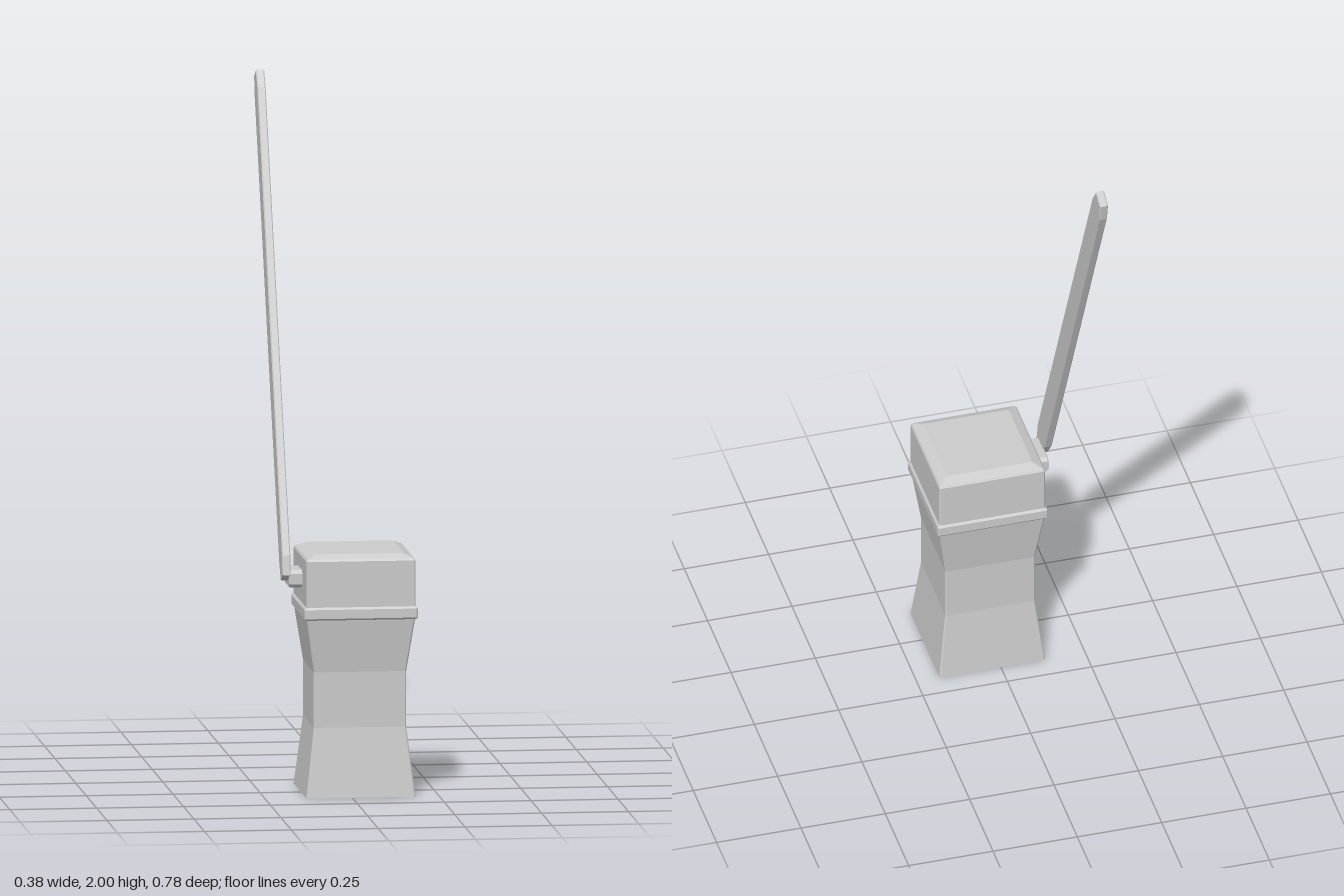
import * as THREE from 'three';

const material = new THREE.MeshStandardMaterial({ color: 0xcccccc, flatShading: true });

// Square column with slightly cut corners, lofted through [halfWidth, y] rows
function squareLoft(rows, cut = 0.004) {
  const rings = rows.map(([h, y]) => {
    const c = h - cut;
    return [[h, -c], [h, c], [c, h], [-c, h], [-h, c], [-h, -c], [-c, -h], [c, -h]]
      .map(([x, z]) => [x, y, z]);
  });
  const pos = [];
  for (let r = 0; r < rings.length - 1; r++) {
    const lo = rings[r], hi = rings[r + 1];
    for (let i = 0; i < 8; i++) {
      const j = (i + 1) % 8;
      pos.push(...lo[i], ...hi[i], ...hi[j], ...lo[i], ...hi[j], ...lo[j]);
    }
  }
  // end caps
  const bottom = rings[0], top = rings[rings.length - 1];
  for (let i = 1; i < 7; i++) {
    pos.push(...bottom[0], ...bottom[i], ...bottom[i + 1]);
    pos.push(...top[0], ...top[i + 1], ...top[i]);
  }
  const geo = new THREE.BufferGeometry();
  geo.setAttribute('position', new THREE.Float32BufferAttribute(pos, 3));
  geo.computeVertexNormals();
  return geo;
}

// Rectangle with cut corners, extruded with a fine bevel and centred on its origin
function chamferedBar(width, length, thickness, cutW, cutL, bevel) {
  const w = width / 2 - bevel, l = length / 2 - bevel;
  const outline = [
    [-w + cutW, -l], [w - cutW, -l], [w, -l + cutL], [w, l - cutL],
    [w - cutW, l], [-w + cutW, l], [-w, l - cutL], [-w, -l + cutL],
  ].map(([x, y]) => new THREE.Vector2(x, y));
  const geo = new THREE.ExtrudeGeometry(new THREE.Shape(outline), {
    depth: thickness - 2 * bevel, bevelEnabled: true,
    bevelThickness: bevel, bevelSize: bevel, bevelSegments: 1,
  });
  geo.translate(0, 0, bevel - thickness / 2);
  geo.rotateY(-Math.PI / 2); // width along z, thickness along x
  return geo;
}

function part(name, geometry, parent) {
  const mesh = new THREE.Mesh(geometry, material);
  mesh.name = name;
  parent.add(mesh);
  return mesh;
}

export function createModel() {
  const model = new THREE.Group();
  model.name = 'leverPost';

  // Waisted post, collar and bevelled cap share one axis
  const post = new THREE.Group();
  post.name = 'post';
  post.position.set(0.025, 0, 0.225);
  model.add(post);
  part('waistedBody', squareLoft([[0.157, 0], [0.133, 0.2], [0.133, 0.36], [0.157, 0.52]]), post);
  part('collar', squareLoft([[0.159, 0.513], [0.163, 0.518], [0.163, 0.544], [0.158, 0.55]]), post);
  part('cap', squareLoft([[0.157, 0.545], [0.157, 0.682], [0.153, 0.688], [0.126, 0.7]]), post);

  // Pivot block on the side of the cap
  const pivot = part('pivotBlock', chamferedBar(0.11, 0.05, 0.05, 0.008, 0.008, 0.003), model);
  pivot.position.set(-0.145, 0.619, 0.225);

  // Long flat arm with tapered ends, leaning back
  const arm = part('arm', chamferedBar(0.077, 1.51, 0.024, 0.0125, 0.053, 0.003), model);
  const lean = THREE.MathUtils.degToRad(25);
  arm.rotation.x = -lean;
  arm.position.set(-0.178, 0.7 + 0.668 * Math.cos(lean), 0.23 - 0.668 * Math.sin(lean));

  return model;
}
